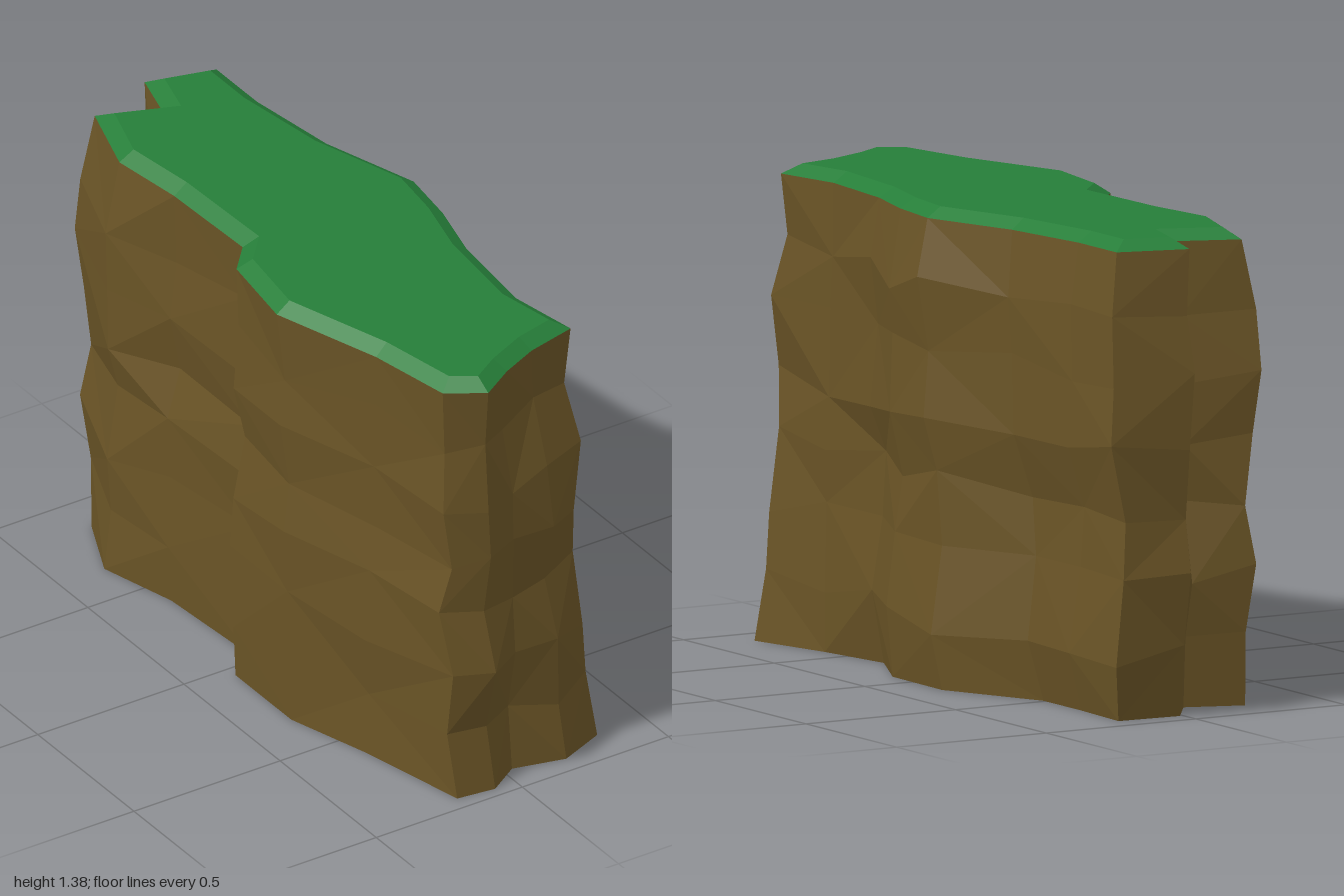
import * as THREE from 'three';

// Plan outline, counter-clockwise from above: [base x, base z, top x, top z]
const OUTLINE = [
  [-0.19, 0.95, -0.22, 0.92], [-0.07, 0.965, -0.11, 0.99], [0.03, 0.90, 0.0, 0.92],
  [0.19, 0.94, 0.12, 0.865], [0.335, 0.88, 0.28, 0.825], [0.27, 0.6, 0.24, 0.6],
  [0.23, 0.34, 0.27, 0.3], [0.34, 0.11, 0.32, 0.1], [0.345, -0.17, 0.345, -0.09],
  [0.2, -0.49, 0.25, -0.4], [0.2, -0.7, 0.21, -0.7], [0.21, -0.92, 0.21, -0.91],
  [0.01, -0.93, 0, -0.965], [-0.08, -0.8, -0.04, -0.82], [-0.25, -0.86, -0.22, -0.89],
  [-0.345, -0.65, -0.3, -0.64], [-0.28, -0.4, -0.27, -0.4], [-0.255, -0.03, -0.26, -0.06],
  [-0.35, 0.04, -0.34, 0.03], [-0.35, 0.33, -0.38, 0.3], [-0.27, 0.6, -0.27, 0.65],
];
const N = OUTLINE.length;

// Height of each rock layer, and how far it shifts on each side
const LEVELS = [0, 0.19, 0.4, 0.6, 0.77, 0.97, 1.16, 1.355];
const LAST = LEVELS.length - 1;
const SHIFTS = [
  // front left edge
  { axis: 'z', on: (x, z) => z > 0.8 && x < 0, by: [0, -0.025, 0.015, -0.035, -0.01, -0.02, -0.025, 0] },
  // front ledge, jutting out above a hollow
  { axis: 'z', on: (x, z) => z > 0.8 && x >= 0, by: [0, -0.015, 0, -0.01, 0.035, 0.02, -0.02, 0] },
  // front right corner
  { axis: 'x', on: (x, z) => z > 0.8 && x > 0.2, by: [0, -0.01, -0.02, -0.03, -0.05, -0.015, -0.02, 0] },
  // back end
  { axis: 'z', on: (x, z) => z < -0.78, by: [0, -0.02, -0.045, -0.02, -0.03, -0.035, -0.02, 0] },
  // right side as seen from the front
  { axis: 'x', on: (x, z) => z < 0.5 && x > 0.2, by: [0, 0.03, 0, -0.01, 0.032, 0.02, 0.033, 0] },
  // opposite side
  { axis: 'x', on: (x, z) => z > -0.5 && x < -0.2, by: [0, 0, -0.005, -0.015, 0.02, 0, 0.01, 0] },
  // back corner overhanging the grass
  { axis: 'x', on: (x, z) => z < -0.6 && x < -0.2, by: [0, 0.01, -0.015, 0.01, -0.015, -0.03, -0.045, 0] },
];

function seeded(seed) {
  return () => {
    seed = (seed * 16807) % 2147483647;
    return (seed / 2147483647) * 2 - 1;
  };
}

// Moves a closed ring inwards in plan and sets its height
function insetRing(ring, amount, y) {
  return ring.map((p, i) => {
    const a = ring[(i + N - 1) % N], b = ring[(i + 1) % N];
    const d1 = new THREE.Vector2(p.x - a.x, p.z - a.z).normalize();
    const d2 = new THREE.Vector2(b.x - p.x, b.z - p.z).normalize();
    const n = new THREE.Vector2(d1.y + d2.y, -d1.x - d2.x).normalize();
    const k = amount / Math.max(0.6, n.x * d1.y - n.y * d1.x);
    return new THREE.Vector3(p.x + n.x * k, y, p.z + n.y * k);
  });
}

// Skins stacked rings with faceted walls, with optional lids
function skin(rings, { bottom = false, top = false }) {
  const pos = [];
  const tri = (...pts) => pts.forEach((p) => pos.push(p.x, p.y, p.z));
  for (let r = 0; r < rings.length - 1; r++) {
    for (let i = 0; i < N; i++) {
      const j = (i + 1) % N;
      const a = rings[r][i], b = rings[r][j], c = rings[r + 1][j], d = rings[r + 1][i];
      if ((r + i) % 2) { tri(a, b, c); tri(a, c, d); }
      else { tri(a, b, d); tri(b, c, d); }
    }
  }
  const lid = (ring, up) => {
    const flat = ring.map((p) => new THREE.Vector2(p.x, -p.z));
    for (const [a, b, c] of THREE.ShapeUtils.triangulateShape(flat, [])) {
      if (up) tri(ring[a], ring[b], ring[c]);
      else tri(ring[a], ring[c], ring[b]);
    }
  };
  if (bottom) lid(rings[0], false);
  if (top) lid(rings[rings.length - 1], true);
  const geo = new THREE.BufferGeometry();
  geo.setAttribute('position', new THREE.Float32BufferAttribute(pos, 3));
  geo.computeVertexNormals();
  return geo;
}

function part(name, geometry, color) {
  const mesh = new THREE.Mesh(geometry, new THREE.MeshStandardMaterial({ color, flatShading: true }));
  mesh.name = name;
  return mesh;
}

export function createModel() {
  const rand = seeded(4217);

  // Rock layers: blend base to top outline, then shift and roughen the middle ones
  const rings = LEVELS.map((y, r) => OUTLINE.map(([bx, bz, tx, tz]) => {
    const t = y / LEVELS[LAST];
    const x = THREE.MathUtils.lerp(bx, tx, t), z = THREE.MathUtils.lerp(bz, tz, t);
    const p = new THREE.Vector3(x, y, z);
    if (r > 0 && r < LAST) {
      for (const { axis, on, by } of SHIFTS) if (on(x, z)) p[axis] += by[r];
      p.x += rand() * 0.01;
      p.y += rand() * 0.035;
      p.z += rand() * 0.012;
    }
    return p;
  }));

  // Grass cap: bevelled rim rising to a smaller flat top
  const rim = rings[LAST];
  const lawn = insetRing(rim, 0.045, 1.385);

  const group = new THREE.Group();
  group.name = 'cliffBlock';
  group.add(part('rockBody', skin(rings, { bottom: true }), 0x6a5426));
  group.add(part('grassCap', skin([rim, lawn], { top: true }), 0x267e39));
  return group;
}
